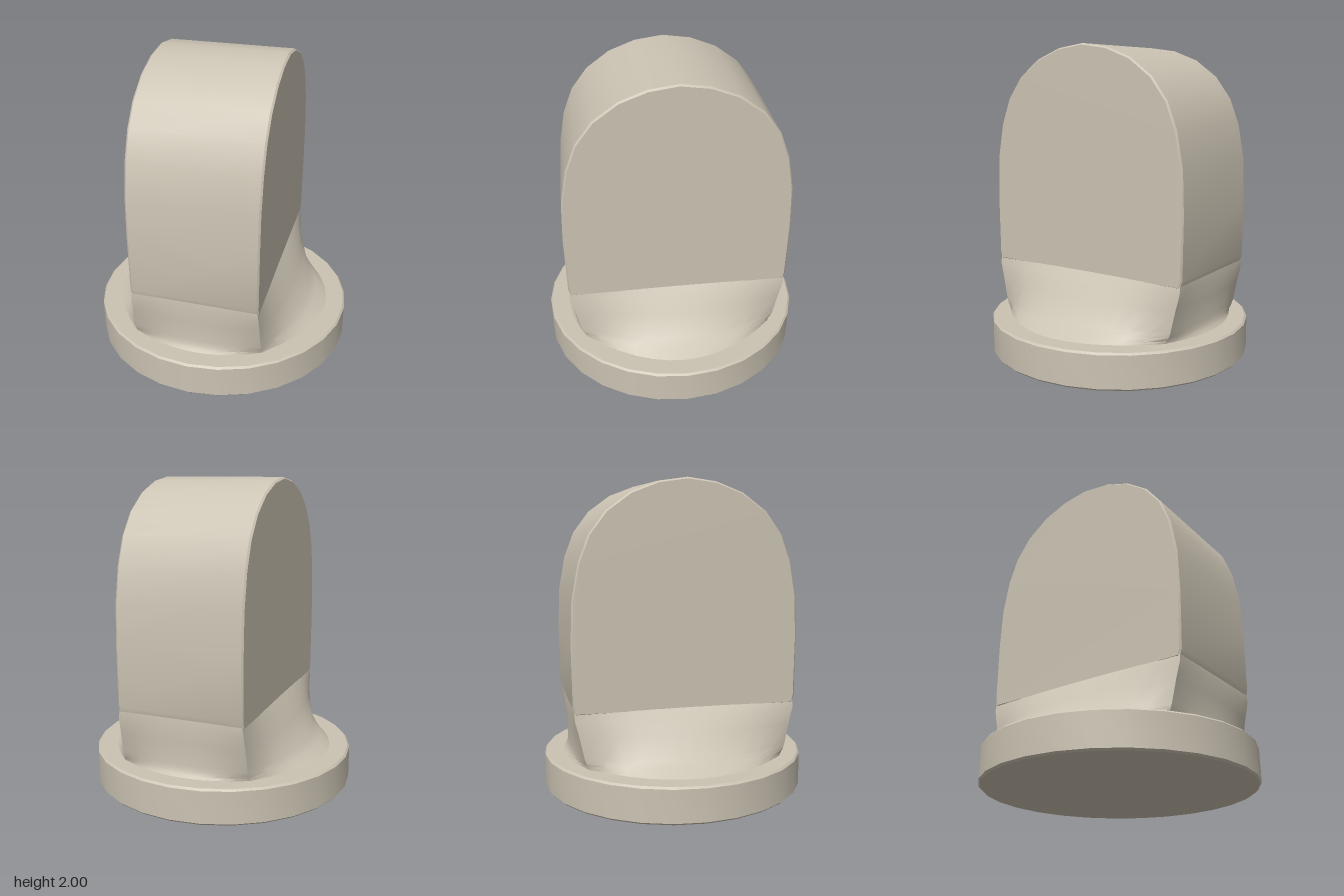
import * as THREE from 'three';
import { toCreasedNormals } from 'three/addons/utils/BufferGeometryUtils.js';

const stone = new THREE.MeshStandardMaterial({ color: 0xcbc3b3 });
stone.name = 'warm stone';

function part(name, geometry, crease = 0.5) {
  const mesh = new THREE.Mesh(toCreasedNormals(geometry, crease), stone);
  mesh.name = name;
  return mesh;
}

// Round foot with slightly softened rims
function makeBase() {
  const profile = [[0, 0], [0.848, 0], [0.86, 0.012], [0.86, 0.218], [0.848, 0.23], [0, 0.23]];
  return new THREE.LatheGeometry(profile.map(([x, y]) => new THREE.Vector2(x, y)), 28);
}

// Upright slab with a rounded top, extruded across x
function makeBody() {
  const half = [[0.7, 0.57], [0.715, 0.62], [0.72, 1.0], [0.71, 1.27], [0.67, 1.49],
    [0.605, 1.66], [0.5, 1.8], [0.35, 1.91], [0.18, 1.975]];
  const outline = [...half, [0, 2], ...half.slice().reverse().map(([z, y]) => [-z, y])];
  const shape = new THREE.Shape(outline.map(([z, y]) => new THREE.Vector2(z, y)));
  const geometry = new THREE.ExtrudeGeometry(shape, {
    depth: 0.8, bevelSize: 0.01, bevelOffset: -0.01, bevelThickness: 0.012, bevelSegments: 1,
  });
  geometry.translate(0, 0, -0.4);
  return geometry.rotateY(Math.PI / 2);
}

// One closed cross-section: bulging sides joined by nearly flat front and back
function ring([y, cornerX, midX, cornerZ, midZ]) {
  const steps = 12, points = [];
  const bow = (corner, mid, s) => corner + (mid - corner) * (1 - s * s);
  for (const sign of [1, -1]) {
    for (let i = 0; i < steps; i++) {
      const s = 1 - (2 * i) / steps;
      points.push([sign * bow(cornerX, midX, s), y, sign * s * cornerZ]);
    }
    for (let i = 0; i < steps; i++) {
      const s = 1 - (2 * i) / steps;
      points.push([sign * s * cornerX, y, -sign * bow(cornerZ, midZ, s)]);
    }
  }
  return points;
}

// Flared neck blending the slab into the foot
function makeNeck() {
  const rings = [
    [0.222, 0.43, 0.745, 0.61, 0.74],
    [0.245, 0.42, 0.70, 0.625, 0.715],
    [0.27, 0.42, 0.65, 0.64, 0.705],
    [0.3, 0.42, 0.60, 0.65, 0.70],
    [0.44, 0.415, 0.51, 0.68, 0.705],
    [0.54, 0.412, 0.445, 0.705, 0.71],
    [0.595, 0.405, 0.405, 0.705, 0.705],
  ].map(ring);
  const n = rings[0].length, index = [];
  for (let r = 0; r < rings.length - 1; r++) {
    for (let i = 0; i < n; i++) {
      const a = r * n + i, b = r * n + ((i + 1) % n);
      index.push(a, b, b + n, a, b + n, a + n);
    }
  }
  const geometry = new THREE.BufferGeometry();
  geometry.setAttribute('position', new THREE.Float32BufferAttribute(rings.flat(2), 3));
  geometry.setIndex(index);
  return geometry;
}

export function createModel() {
  const model = new THREE.Group();
  model.name = 'roundedUprightOnFoot';
  model.add(part('base', makeBase()), part('neck', makeNeck(), 0.6), part('body', makeBody()));
  return model;
}
